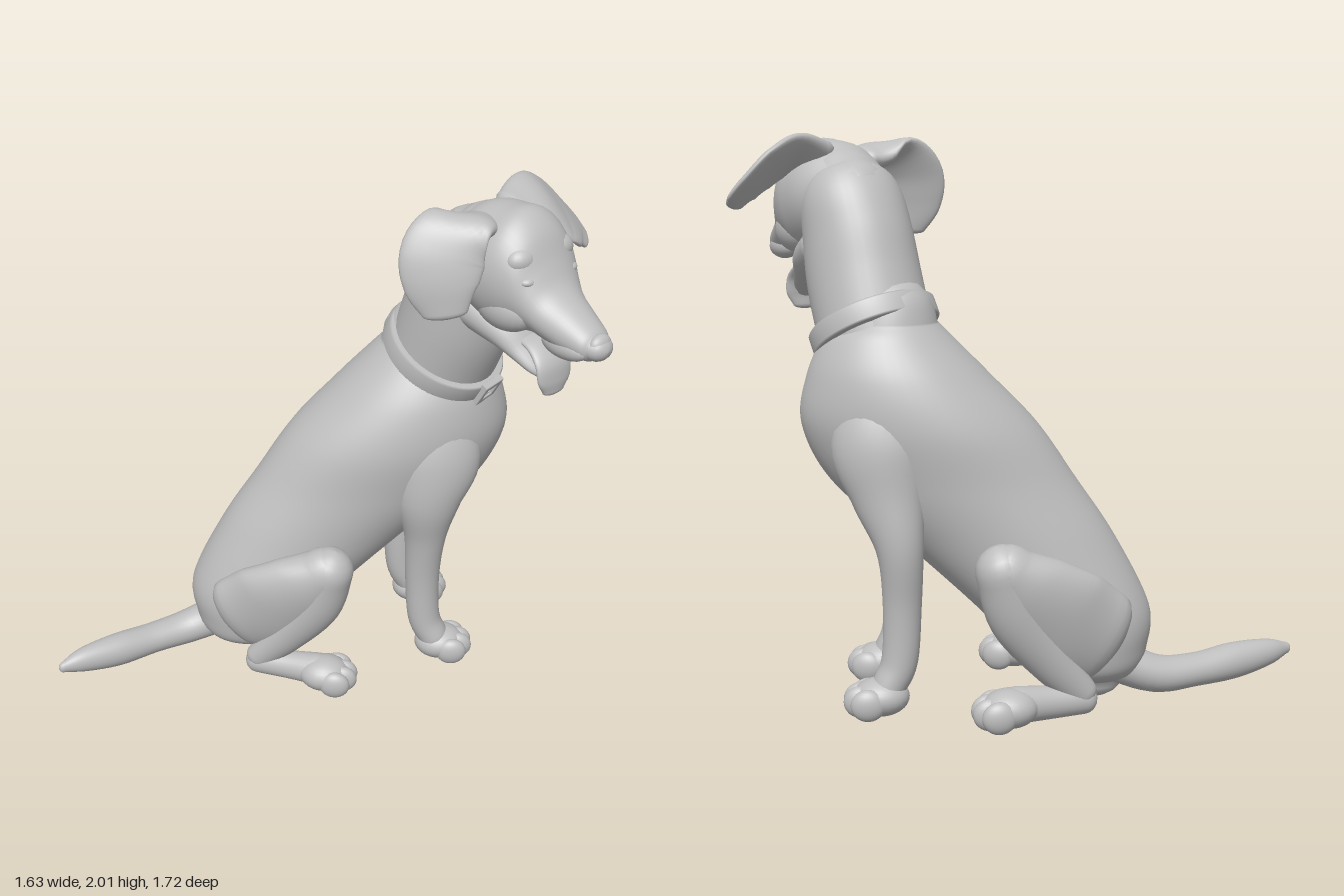
import * as THREE from 'three';

const coat = new THREE.MeshStandardMaterial({ color: 0xbebebe });
coat.name = 'light grey';

function add(parent, name, geometry) {
  const mesh = new THREE.Mesh(geometry, coat);
  mesh.name = name;
  parent.add(mesh);
  return mesh;
}

// Smooth skin over elliptical stations [x, y, z, a, b]: a lies along `side`, b across it.
// `up` fixes the slice direction; otherwise slices follow the path. Ends are rounded.
function loft(parent, name, stations, side = [1, 0, 0], up = null, around = 32, per = 6) {
  const path = new THREE.CatmullRomCurve3(stations.map(s => new THREE.Vector3(s[0], s[1], s[2])), false, 'catmullrom', 0.5);
  const size = new THREE.CatmullRomCurve3(stations.map(s => new THREE.Vector3(s[3], s[4], 0)), false, 'catmullrom', 0.5);
  const hint = new THREE.Vector3(...side);
  const steps = (stations.length - 1) * per, caps = 5;
  const pos = [], index = [];
  const ring = (t, slide, scale) => {
    const c = path.getPoint(t), r = size.getPoint(t);
    const T = up ? new THREE.Vector3(...up) : path.getTangent(t);
    const N = hint.clone().addScaledVector(T, -hint.dot(T)).normalize();
    const M = T.clone().cross(N);
    c.addScaledVector(T, slide * Math.min(r.x, r.y));
    for (let j = 0; j < around; j++) {
      const q = j / around * Math.PI * 2;
      const p = c.clone().addScaledVector(N, r.x * scale * Math.cos(q)).addScaledVector(M, r.y * scale * Math.sin(q));
      pos.push(p.x, p.y, p.z);
    }
  };
  const cap = k => [Math.sin(k / caps * Math.PI / 2), Math.max(Math.cos(k / caps * Math.PI / 2), 0.001)];
  for (let k = caps; k > 0; k--) ring(0, -cap(k)[0], cap(k)[1]);
  for (let i = 0; i <= steps; i++) ring(i / steps, 0, 1);
  for (let k = 1; k <= caps; k++) ring(1, cap(k)[0], cap(k)[1]);
  const rings = pos.length / 3 / around;
  for (let i = 0; i < rings - 1; i++) {
    for (let j = 0; j < around; j++) {
      const k = (j + 1) % around;
      const a = i * around + j, b = i * around + k, c = b + around, d = a + around;
      index.push(a, b, c, a, c, d);
    }
  }
  const g = new THREE.BufferGeometry();
  g.setAttribute('position', new THREE.Float32BufferAttribute(pos, 3));
  g.setIndex(index);
  g.computeVertexNormals();
  return add(parent, name, g);
}

function ball(parent, name, [x, y, z], [rx, ry, rz]) {
  const mesh = add(parent, name, new THREE.SphereGeometry(1, 24, 16));
  mesh.position.set(x, y, z);
  mesh.scale.set(rx, ry, rz);
  return mesh;
}

function group(parent, name, x = 0, y = 0, z = 0, yaw = 0) {
  const g = new THREE.Group();
  g.name = name;
  g.position.set(x, y, z);
  g.rotation.y = yaw;
  parent.add(g);
  return g;
}

// Rounded pad with four toes fanned across the front
function paw(parent, name, x, z, yaw) {
  const p = group(parent, name, x, 0, z, yaw);
  ball(p, 'pad', [0, 0.07, -0.01], [0.085, 0.068, 0.1]);
  for (const t of [-1.5, -0.5, 0.5, 1.5]) {
    ball(p, 'toe', [t * 0.042, 0.058, Math.abs(t) > 1 ? 0.035 : 0.06], [0.033, 0.057, 0.06]);
  }
}

function buildBody(root) {
  // The seated body is turned 45 degrees from the head
  const body = group(root, 'body', 0.19, 0, -0.19, Math.PI / 4);

  // Torso slices: height, back, front, half width
  const slices = [
    [0.07, -0.52, -0.26, 0.07], [0.12, -0.58, -0.2, 0.18], [0.2, -0.61, -0.13, 0.22], [0.35, -0.615, 0.01, 0.24],
    [0.6, -0.49, 0.29, 0.25], [0.8, -0.355, 0.52, 0.265], [1.0, -0.215, 0.62, 0.285],
    [1.17, -0.05, 0.6, 0.262], [1.3, 0.08, 0.54, 0.205], [1.36, 0.14, 0.46, 0.16],
  ];
  const torso = slices.map(([y, back, front, w]) => [0, y, (back + front) / 2, w, (front - back) / 2]);
  loft(body, 'torso', torso, [1, 0, 0], [0, 1, 0], 48, 8);

  for (const m of [-1, 1]) {
    const label = m > 0 ? 'left' : 'right';
    const out = m > 0 ? 0.045 : 0, back = m > 0 ? -0.035 : 0;
    const limb = (name, stations) => loft(body, label + name, stations.map(([x, ...rest]) => [m * x, ...rest]));

    // Front leg from shoulder to wrist
    limb('FrontLeg', [
      [0.14, 1.12, 0.29, 0.1, 0.13], [0.18, 0.95, 0.32, 0.115, 0.175], [0.205, 0.78, 0.295, 0.097, 0.13],
      [0.185 + out, 0.6, 0.29 + back, 0.077, 0.083], [0.168 + out, 0.4, 0.285 + back, 0.066, 0.068],
      [0.168 + out, 0.2, 0.295 + back, 0.062, 0.064], [0.175 + out, 0.1, 0.335 + back, 0.066, 0.06],
    ]);
    paw(body, label + 'FrontPaw', m * (0.175 + out * 1.2), 0.37 + back, m * 0.1);

    // Folded hind leg: thigh, shin, then a long flat foot
    limb('Thigh', [
      [0.17, 0.27, -0.42, 0.088, 0.185], [0.23, 0.35, -0.3, 0.092, 0.205],
      [0.28, 0.455, -0.19, 0.094, 0.165], [0.308, 0.54, -0.11, 0.09, 0.105],
    ]);
    limb('Shin', [
      [0.308, 0.545, -0.1, 0.092, 0.095], [0.293, 0.38, -0.15, 0.082, 0.1],
      [0.255, 0.22, -0.26, 0.064, 0.08], [0.215, 0.09, -0.37, 0.048, 0.058],
    ]);
    limb('HindFoot', [
      [0.21, 0.065, -0.38, 0.048, 0.053], [0.26, 0.068, -0.26, 0.053, 0.058], [0.31, 0.075, -0.15, 0.064, 0.064],
    ]);
    paw(body, label + 'HindPaw', m * 0.33, -0.115, m * 0.2);
  }
}

function buildHead(root) {
  const head = group(root, 'head', 0.37, 0, 0.4, -0.21);
  // Skull and muzzle stations: forward, height, half width, half height
  const along = list => list.map(([z, y, w, h]) => [0, y, z, w, h]);
  loft(head, 'skull', along([
    [-0.2, 1.8, 0.13, 0.12], [-0.1, 1.79, 0.185, 0.185], [0.0, 1.775, 0.195, 0.215], [0.08, 1.775, 0.186, 0.217],
    [0.15, 1.755, 0.163, 0.18], [0.2, 1.71, 0.138, 0.128], [0.25, 1.668, 0.117, 0.096],
    [0.33, 1.634, 0.095, 0.08], [0.4, 1.612, 0.074, 0.06], [0.425, 1.605, 0.055, 0.045],
  ]), [1, 0, 0], [0, 0, 1], 40);
  loft(head, 'lowerJaw', along([
    [-0.1, 1.61, 0.165, 0.11], [0.03, 1.56, 0.14, 0.085], [0.12, 1.495, 0.1, 0.048],
    [0.18, 1.45, 0.072, 0.03], [0.21, 1.425, 0.045, 0.018],
  ]));
  loft(head, 'tongue', along([
    [0.08, 1.54, 0.06, 0.02], [0.17, 1.525, 0.07, 0.022], [0.225, 1.48, 0.08, 0.022],
    [0.24, 1.42, 0.078, 0.02], [0.24, 1.375, 0.052, 0.018],
  ]));
  ball(head, 'nose', [0, 1.62, 0.43], [0.047, 0.038, 0.03]);
  for (const m of [-1, 1]) {
    ball(head, 'upperLip', [m * 0.05, 1.59, 0.32], [0.042, 0.045, 0.1]);
    ball(head, 'cheek', [m * 0.095, 1.665, 0.08], [0.075, 0.085, 0.13]);
    ball(head, 'eye', [m * 0.1, 1.79, 0.178], [0.032, 0.018, 0.028]);
    ball(head, 'brow', [m * 0.085, 1.85, 0.13], [0.065, 0.05, 0.05]);
  }

  // Folded ears, each swinging its own way
  loft(root, 'leftEar', [
    [0.46, 1.92, 0.36, 0.1, 0.05], [0.56, 1.93, 0.38, 0.14, 0.038], [0.65, 1.88, 0.395, 0.17, 0.03],
    [0.72, 1.81, 0.425, 0.145, 0.027], [0.75, 1.765, 0.455, 0.09, 0.022],
  ], [-0.3, -0.5, 0.81]);
  loft(root, 'rightEar', [
    [0.27, 1.92, 0.33, 0.09, 0.05], [0.17, 1.94, 0.32, 0.12, 0.04], [0.1, 1.87, 0.305, 0.145, 0.032],
    [0.075, 1.77, 0.315, 0.13, 0.03], [0.075, 1.67, 0.335, 0.08, 0.024],
  ], [0.55, -0.1, 0.82]);
}

function buildCollar(root) {
  const collar = group(root, 'collar', 0.415, 1.335, 0.1);
  collar.rotation.x = 0.51;
  const band = [[0.17, -0.037], [0.226, -0.037], [0.233, -0.03], [0.233, 0.03], [0.226, 0.037], [0.17, 0.037]];
  add(collar, 'band', new THREE.LatheGeometry(band.map(p => new THREE.Vector2(...p)), 64));

  // Square buckle frame with a centre pin
  const square = (path, w, h) => path.moveTo(-w, -h).lineTo(w, -h).lineTo(w, h).lineTo(-w, h).closePath();
  const frame = square(new THREE.Shape(), 0.052, 0.044);
  frame.holes.push(square(new THREE.Path(), 0.034, 0.027));
  const buckle = add(collar, 'buckle', new THREE.ExtrudeGeometry(frame, {
    depth: 0.02, bevelEnabled: true, bevelSize: 0.004, bevelThickness: 0.004, bevelSegments: 2,
  }));
  buckle.position.z = 0.222;
  const pin = add(collar, 'bucklePin', new THREE.BoxGeometry(0.045, 0.009, 0.014));
  pin.position.set(-0.02, 0, 0.236);
}

export function createModel() {
  const root = new THREE.Group();
  root.name = 'sittingDog';
  buildBody(root);
  loft(root, 'neck', [
    [0.415, 1.22, 0.06, 0.2, 0.2], [0.413, 1.34, 0.105, 0.203, 0.205], [0.407, 1.5, 0.165, 0.2, 0.21],
    [0.402, 1.65, 0.205, 0.193, 0.2], [0.396, 1.77, 0.245, 0.185, 0.175], [0.385, 1.83, 0.29, 0.15, 0.13],
  ], [1, 0, 0], null, 40);
  buildHead(root);
  buildCollar(root);
  // Tail curling away to the side
  loft(root, 'tail', [
    [-0.12, 0.16, -0.54, 0.085, 0.08], [-0.25, 0.095, -0.65, 0.072, 0.068], [-0.4, 0.09, -0.715, 0.065, 0.06],
    [-0.56, 0.1, -0.765, 0.062, 0.066], [-0.7, 0.112, -0.812, 0.044, 0.05], [-0.785, 0.115, -0.835, 0.018, 0.022],
  ], [0, 0, 1]);
  return root;
}
